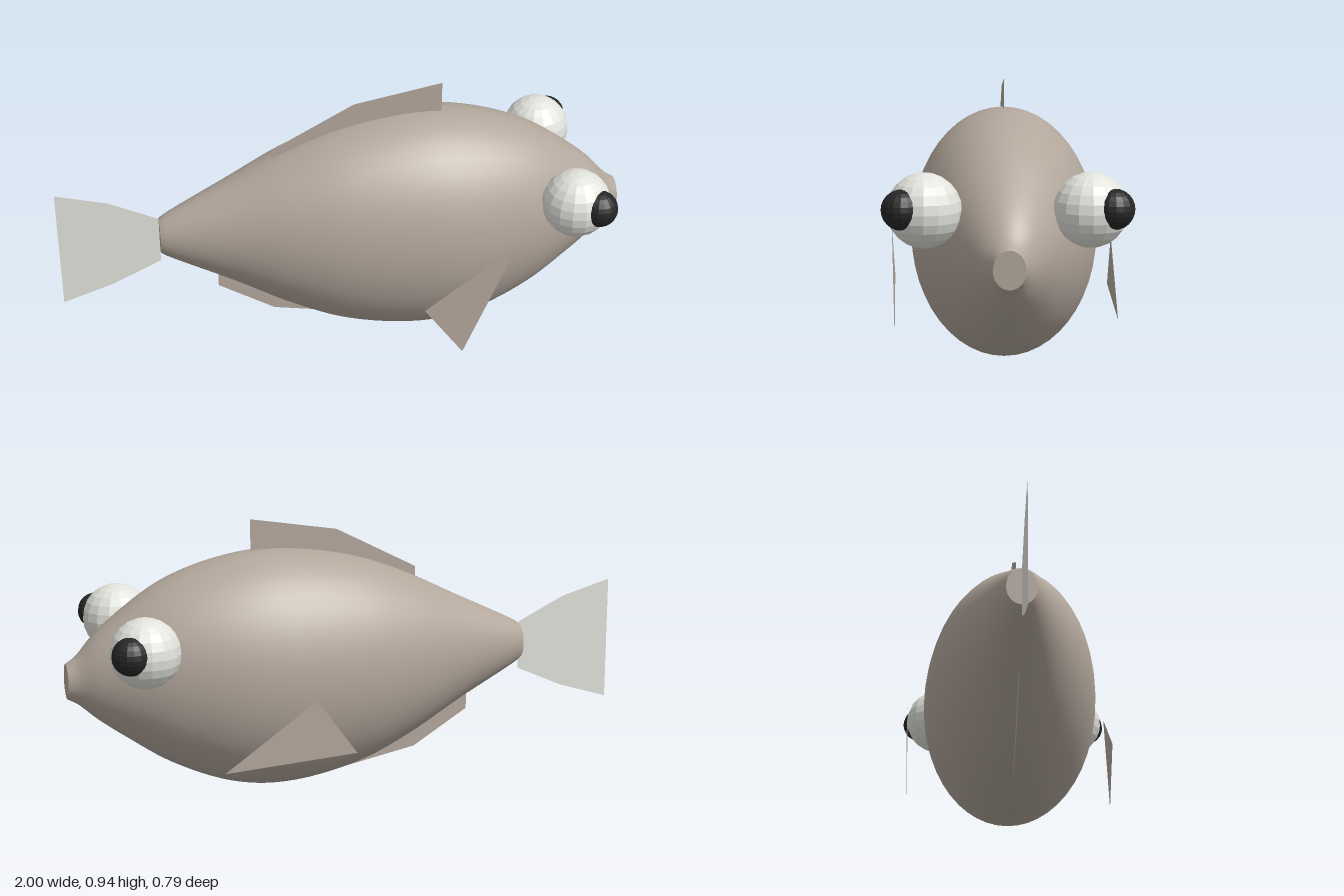
import * as THREE from 'three';

const skin = new THREE.MeshStandardMaterial({ name: 'taupe skin', color: 0xb3a79c, side: THREE.DoubleSide });
const pale = new THREE.MeshStandardMaterial({ name: 'tail white', color: 0xe2e3dc, side: THREE.DoubleSide });
const eyeWhite = new THREE.MeshStandardMaterial({ name: 'eye white', color: 0xe2e3dc });
const pupilBlack = new THREE.MeshStandardMaterial({ name: 'pupil black', color: 0x262626 });
eyeWhite.flatShading = pupilBlack.flatShading = true;

// Body stations from tail to mouth: x, centre y, half height, half width
const STATIONS = [
  [-0.65, 0.44, 0.064, 0.052], [-0.63, 0.44, 0.078, 0.062], [-0.4, 0.437, 0.195, 0.152],
  [-0.2, 0.43, 0.3, 0.23], [0, 0.423, 0.378, 0.284], [0.26, 0.42, 0.418, 0.312],
  [0.45, 0.422, 0.397, 0.298], [0.65, 0.432, 0.322, 0.242], [0.8, 0.435, 0.225, 0.172],
  [0.9, 0.431, 0.147, 0.115], [0.965, 0.424, 0.083, 0.068], [1, 0.422, 0.061, 0.051],
];

// Elliptical sections swept along x with smooth interpolation between stations
function bodyGeometry(sides = 48, rows = 66) {
  const line = (a, b) => new THREE.CatmullRomCurve3(STATIONS.map((s) => new THREE.Vector3(s[0], s[a], s[b])));
  const tall = line(1, 2), wide = line(1, 3);
  const pos = [], index = [];
  for (let i = 0; i <= rows; i++) {
    const p = tall.getPoint(i / rows), q = wide.getPoint(i / rows);
    for (let j = 0; j < sides; j++) {
      const a = (j / sides) * Math.PI * 2;
      pos.push(p.x, p.y + Math.cos(a) * p.z, Math.sin(a) * q.z);
    }
  }
  for (let i = 0; i < rows; i++) {
    for (let j = 0; j < sides; j++) {
      const a = i * sides + j, b = i * sides + ((j + 1) % sides);
      index.push(a, a + sides, b, b, a + sides, b + sides);
    }
  }
  const g = new THREE.BufferGeometry();
  g.setAttribute('position', new THREE.Float32BufferAttribute(pos, 3));
  g.setIndex(index);
  g.computeVertexNormals();
  // Keep the outside facing out
  if (g.attributes.normal.getY(sides * 30) < 0) {
    g.setIndex(index.reverse());
    g.computeVertexNormals();
  }
  return g;
}

export function createModel() {
  const model = new THREE.Group();
  model.name = 'fish';
  const add = (name, geometry, material, x = 0, y = 0, z = 0) => {
    const mesh = new THREE.Mesh(geometry, material);
    mesh.name = name;
    mesh.position.set(x, y, z);
    model.add(mesh);
    return mesh;
  };
  const fin = (name, points, material, z = 0) =>
    add(name, new THREE.ShapeGeometry(new THREE.Shape(points.map((p) => new THREE.Vector2(...p)))), material, 0, 0, z);

  add('body', bodyGeometry(), skin);

  // Flat ends at the mouth and the tail root
  for (const [name, s, turn] of [['mouth', STATIONS.at(-1), 1], ['tailRoot', STATIONS[0], -1]]) {
    const cap = add(name, new THREE.CircleGeometry(1, 48), skin, s[0], s[1], 0);
    cap.rotation.y = (turn * Math.PI) / 2;
    cap.scale.set(s[3], s[2], 1);
  }

  // Sheet fins along the middle
  fin('tailFin', [[-0.65, 0.51], [-0.82, 0.594], [-1, 0.645], [-1, 0.2], [-0.82, 0.257], [-0.65, 0.335]], pale);
  fin('dorsalFin', [[-0.25, 0.65], [-0.25, 0.742], [0.04, 0.893], [0.35, 0.945], [0.35, 0.75]], skin);
  fin('analFin', [[-0.45, 0.3], [-0.45, 0.2], [-0.25, 0.075], [0, 0.025], [0, 0.15]], skin);

  // Side fins, each turned its own way
  fin('frontSideFin', [[0.54, 0.49], [0.22, 0.26], [0.36, 0.065]], skin, 0.37);
  fin('backSideFin', [[0.54, 0.165], [0.22, 0.39], [0.08, 0.195]], skin, -0.37);

  // Bulging eyes with pupils set forwards and outwards
  for (const s of [1, -1]) {
    const side = s > 0 ? 'front' : 'back';
    add(side + 'Eye', new THREE.SphereGeometry(0.119, 16, 12), eyeWhite, 0.775, 0.571, s * 0.261);
    add(side + 'Pupil', new THREE.SphereGeometry(0.064, 16, 12), pupilBlack, 0.836, 0.582, s * 0.33);
  }
  return model;
}
